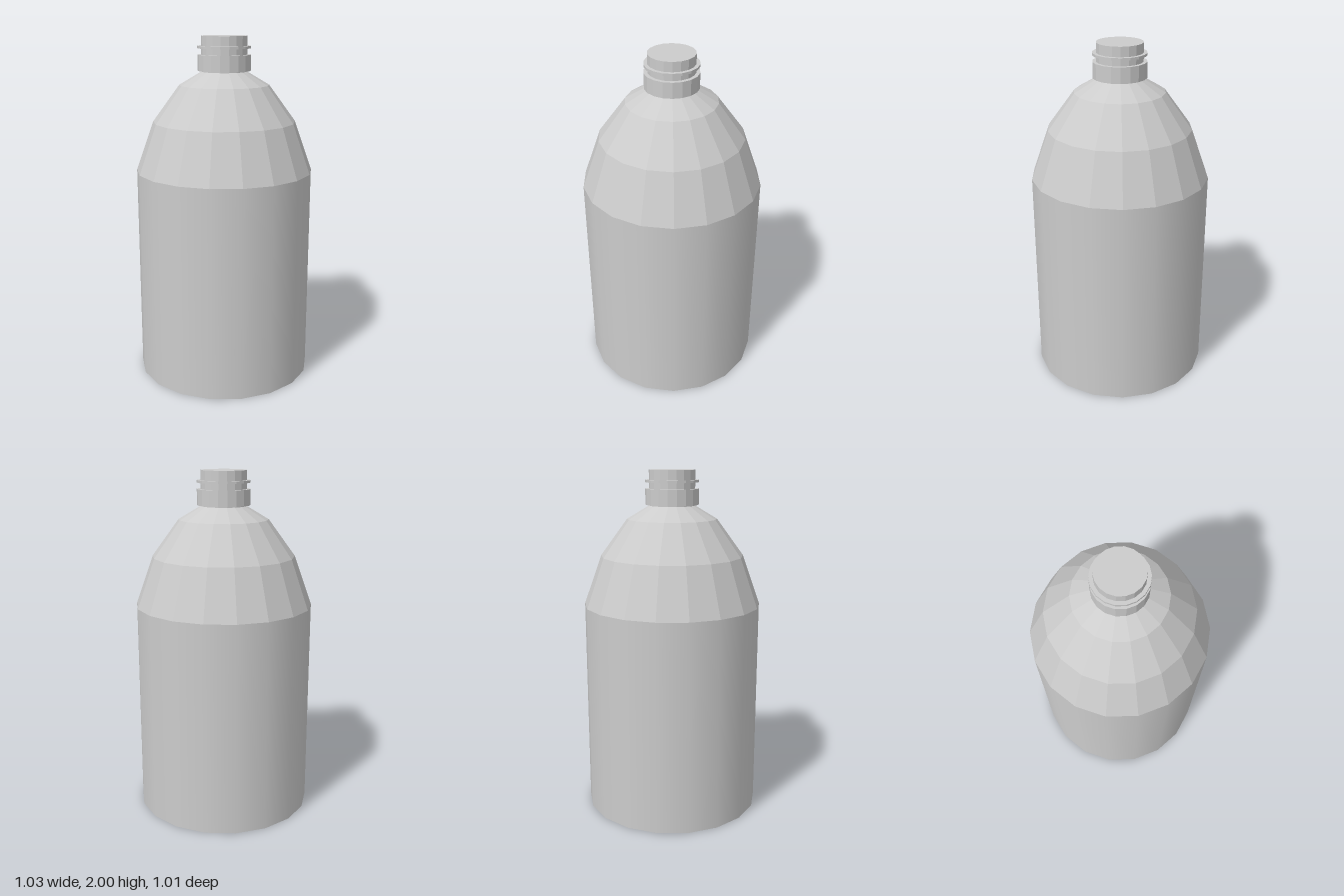
import * as THREE from 'three';

const SIDES = 18;

// Revolve a [radius, height] profile, listed bottom to top, with a corner on the x axis
function lathe(name, profile, flatShading) {
  const points = profile.map(([r, y]) => new THREE.Vector2(r, y));
  const geometry = new THREE.LatheGeometry(points, SIDES).rotateY(Math.PI / 2);
  const material = new THREE.MeshStandardMaterial({ color: 0xcccccc, flatShading });
  const mesh = new THREE.Mesh(geometry, material);
  mesh.name = name;
  return mesh;
}

export function createModel() {
  const bottle = new THREE.Group();
  bottle.name = 'bottle';

  // Closed flat bottom and smooth straight wall
  bottle.add(lathe('base', [[0, 0], [0.515, 0]], true));
  bottle.add(lathe('body', [[0.515, 0], [0.515, 1.23]], false));

  // Faceted shoulder, closing in to the neck
  bottle.add(lathe('shoulder', [[0.515, 1.23], [0.413, 1.515], [0.259, 1.725], [0.132, 1.8]], true));

  // Neck with a flat closed top
  bottle.add(lathe('neck', [[0.132, 1.8], [0.132, 2], [0, 2]], true));

  // Wide collar and thin ring around the neck
  const band = (name, y0, y1) =>
    lathe(name, [[0.132, y0], [0.153, y0], [0.153, y1], [0.132, y1]], true);
  bottle.add(band('collar', 1.805, 1.895));
  bottle.add(band('neckRing', 1.93, 1.944));

  return bottle;
}
